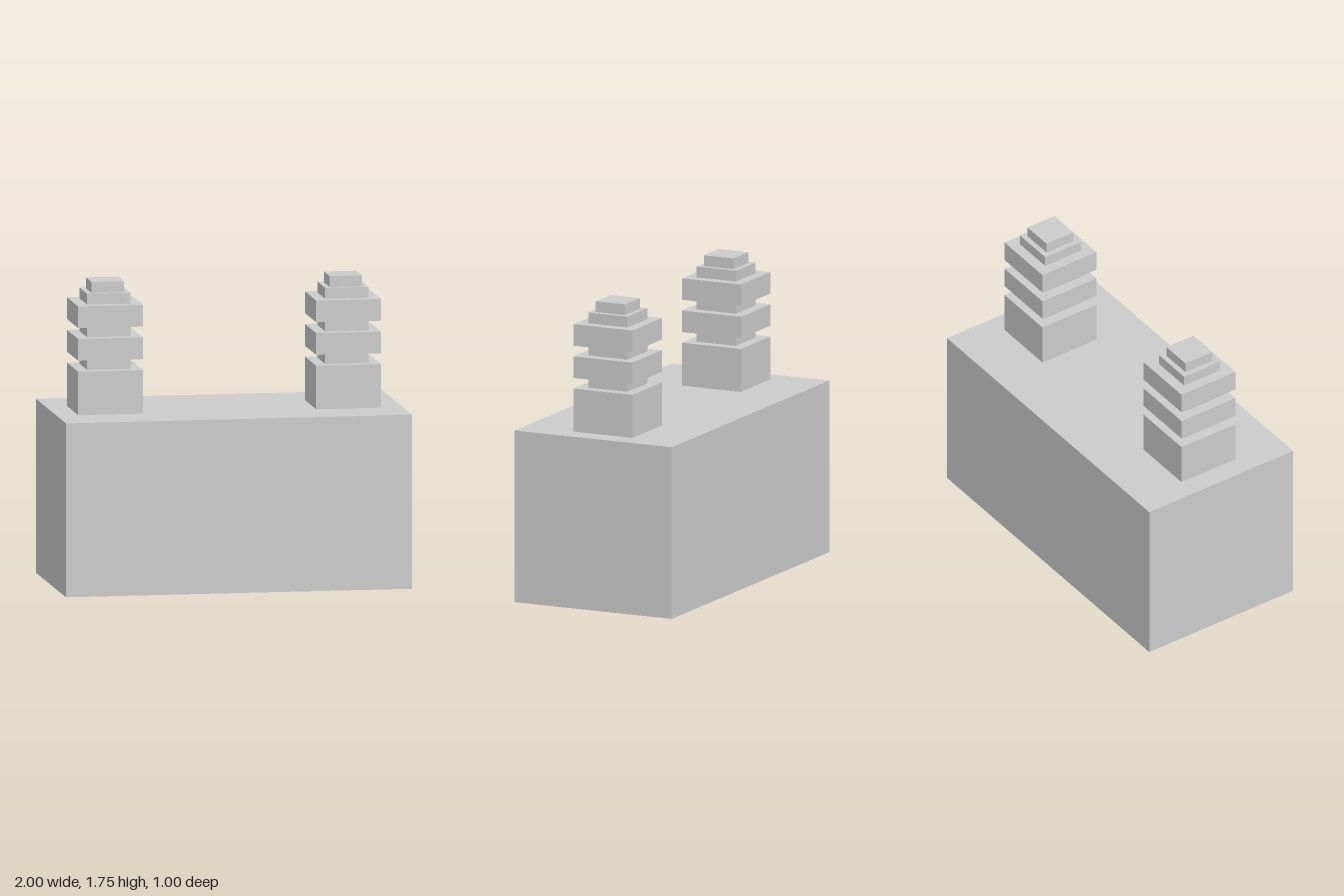
import * as THREE from 'three';

const material = new THREE.MeshStandardMaterial({ color: 0xcccccc, flatShading: true });

// Square block standing on height y
function block(name, width, height, depth, y) {
  const mesh = new THREE.Mesh(new THREE.BoxGeometry(width, height, depth), material);
  mesh.name = name;
  mesh.position.y = y + height / 2;
  return mesh;
}

// Insulator tiers from the bottom up: name, width, height
const tiers = [
  ['insulatorBase', 0.375, 0.25],
  ['lowerNeck', 0.25, 0.0625],
  ['lowerDisc', 0.375, 0.125],
  ['upperNeck', 0.25, 0.0625],
  ['upperDisc', 0.375, 0.125],
  ['collar', 0.25, 0.0625],
  ['terminal', 0.1875, 0.0625],
];

function createInsulator(name, x) {
  const insulator = new THREE.Group();
  insulator.name = name;
  let y = 0;
  for (const [tierName, width, height] of tiers) {
    insulator.add(block(tierName, width, height, width, y));
    y += height;
  }
  insulator.position.set(x, 1, 0);
  return insulator;
}

export function createModel() {
  const model = new THREE.Group();
  model.name = 'insulatedBox';

  // Main housing
  model.add(block('housing', 2, 1, 1, 0));

  // Stepped insulators at both ends of the top
  model.add(createInsulator('leftInsulator', 0.6875));
  model.add(createInsulator('rightInsulator', -0.6875));
  return model;
}
